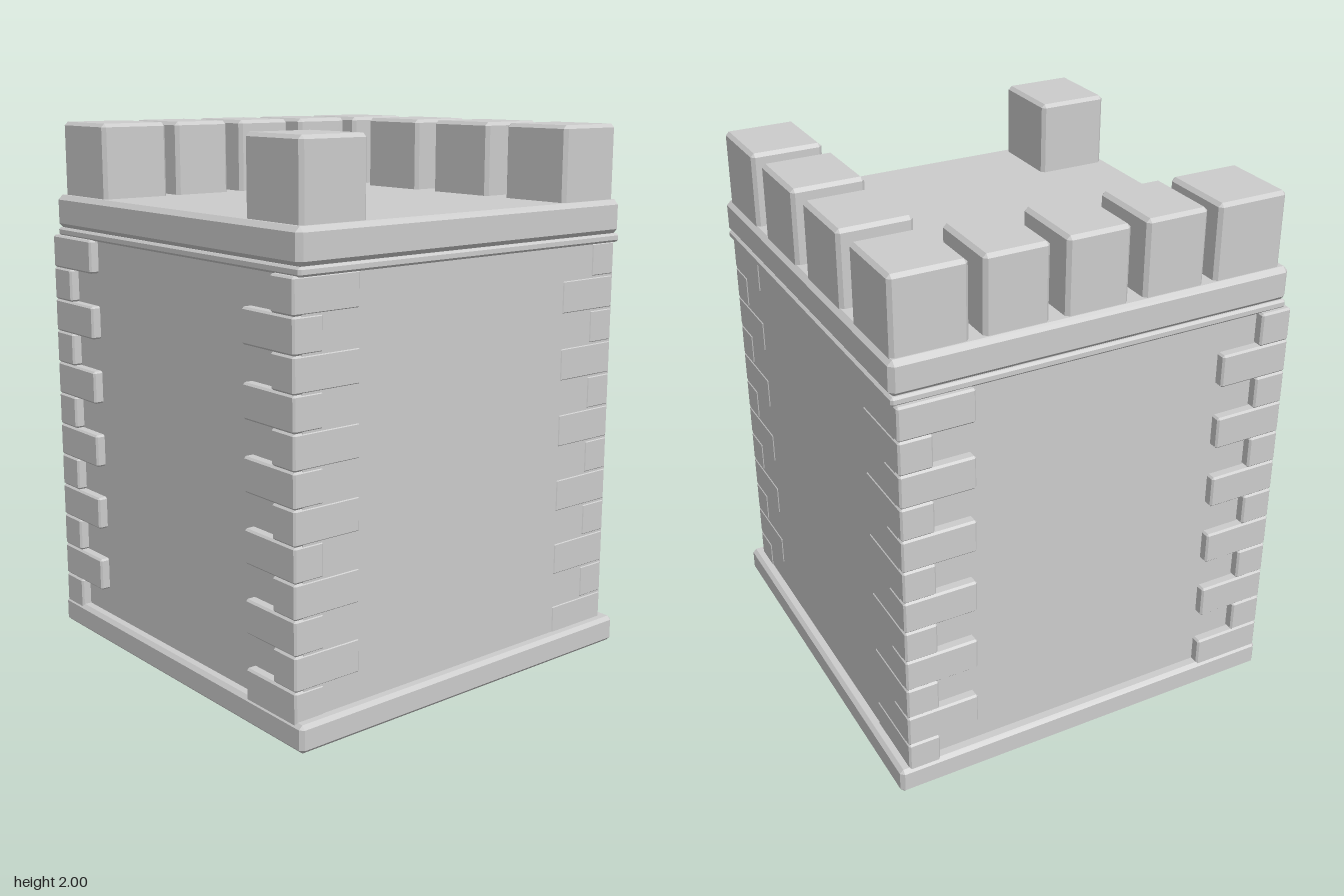
import * as THREE from 'three';
import { ConvexGeometry } from 'three/addons/geometries/ConvexGeometry.js';

const material = new THREE.MeshStandardMaterial({ color: 0xcccccc, flatShading: true });

// Box between two corners with chamfered edges
function block(name, [x0, y0, z0], [x1, y1, z1], bevel) {
  const half = [(x1 - x0) / 2, (y1 - y0) / 2, (z1 - z0) / 2];
  const points = [];
  for (const sx of [-1, 1]) for (const sy of [-1, 1]) for (const sz of [-1, 1]) {
    for (let axis = 0; axis < 3; axis++) {
      const p = half.map((h, i) => (i === axis ? h : h - bevel));
      points.push(new THREE.Vector3(sx * p[0], sy * p[1], sz * p[2]));
    }
  }
  const mesh = new THREE.Mesh(new ConvexGeometry(points), material);
  mesh.name = name;
  mesh.position.set((x0 + x1) / 2, (y0 + y1) / 2, (z0 + z1) / 2);
  return mesh;
}

export function createModel() {
  const tower = new THREE.Group();
  tower.name = 'tower';

  // Walls
  const walls = new THREE.Mesh(new THREE.BoxGeometry(1.468, 1.58, 1.468), material);
  walls.name = 'walls';
  walls.position.y = 0.82;
  tower.add(walls);

  // Plinth, thin trim and roof slab
  tower.add(block('plinth', [-0.778, 0, -0.775], [0.775, 0.1, 0.775], 0.014));
  tower.add(block('trim', [-0.755, 1.57, -0.748], [0.75, 1.602, 0.755], 0.008));
  tower.add(block('roofSlab', [-0.757, 1.6, -0.75], [0.75, 1.726, 0.757], 0.018));

  // Corner stones, alternating long along x and long along z
  const quoins = new THREE.Group();
  quoins.name = 'cornerStones';
  const rows = 12, top = 1.573, step = 0.1245;
  const long = 0.275, short = 0.122;
  const edgeX = { '-1': -0.77, '1': 0.737 };
  const edgeZ = { '-1': -0.737, '1': 0.77 };
  for (const sx of [-1, 1]) for (const sz of [-1, 1]) {
    for (let row = 0; row < rows; row++) {
      const alongX = (row % 2 === 0) === (sx !== sz);
      const xa = edgeX[sx], xb = xa - sx * (alongX ? long : short);
      const za = edgeZ[sz], zb = za - sz * (alongX ? short : long);
      const y = top - row * step;
      quoins.add(block('cornerStone',
        [Math.min(xa, xb), y - step, Math.min(za, zb)],
        [Math.max(xa, xb), y, Math.max(za, zb)], 0.007));
    }
  }
  tower.add(quoins);

  // Battlements: full rows at the back and along -x, one more at the front corner
  const merlons = new THREE.Group();
  merlons.name = 'battlements';
  const addMerlon = (x0, x1, z0, z1) =>
    merlons.add(block('merlon', [x0, 1.71, z0], [x1, 2, z1], 0.013));
  for (const x of [-0.735, -0.348, 0.042, 0.43]) addMerlon(x, x + 0.295, -0.735, -0.465);
  for (const z of [-0.415, -0.12, 0.175]) addMerlon(-0.735, -0.44, z, z + 0.235);
  for (const x of [-0.735, 0.43]) addMerlon(x, x + 0.295, 0.455, 0.727);
  tower.add(merlons);

  return tower;
}
